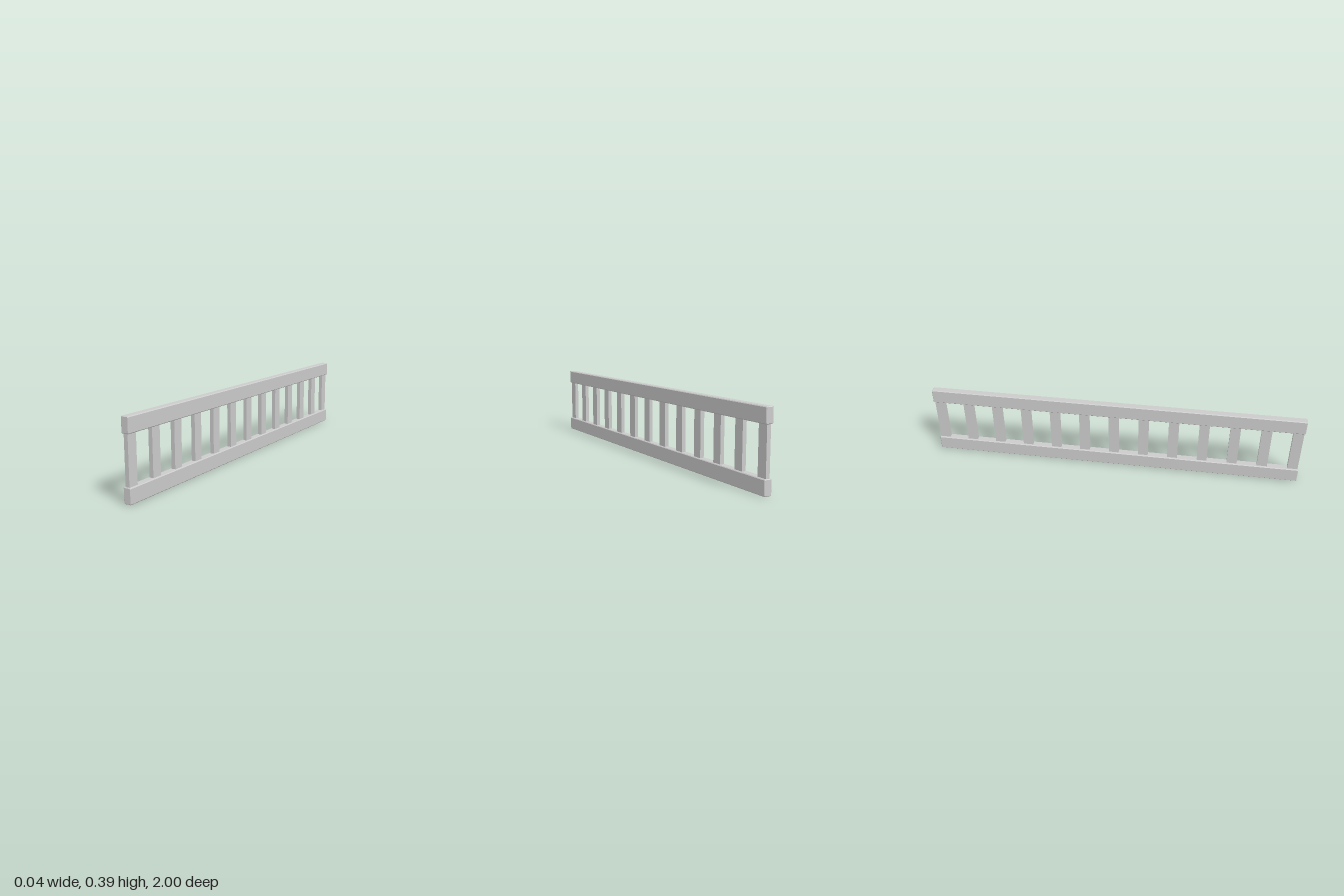
import * as THREE from 'three';

const material = new THREE.MeshStandardMaterial({ color: 0xcccccc, flatShading: true });

// Rectangle with chamfered corners, centred on the origin
function chamferedRect(w, h, c) {
  const x = w / 2, y = h / 2;
  return new THREE.Shape([
    [x, -y + c], [x, y - c], [x - c, y], [-x + c, y],
    [-x, y - c], [-x, -y + c], [-x + c, -y], [x - c, -y],
  ].map(([px, py]) => new THREE.Vector2(px, py)));
}

// Long rail along z, chamfered on every edge
function makeRail(name, yCentre) {
  const bevel = 0.003, width = 0.04, height = 0.076, length = 2;
  const geometry = new THREE.ExtrudeGeometry(
    chamferedRect(width - 2 * bevel, height - 2 * bevel, 0.002),
    { depth: length - 2 * bevel, bevelEnabled: true, bevelSize: bevel, bevelThickness: bevel, bevelSegments: 1 }
  );
  geometry.translate(0, 0, -length / 2 + bevel);
  const rail = new THREE.Mesh(geometry, material);
  rail.name = name;
  rail.position.y = yCentre;
  return rail;
}

export function createModel() {
  const model = new THREE.Group();
  model.name = 'railing';

  const bottomY = 0.038, topY = 0.348;
  model.add(makeRail('bottomRail', bottomY), makeRail('topRail', topY));

  // Evenly spaced square-cut balusters, let into both rails
  const count = 13, firstZ = 0.968;
  const balusterGeometry = new THREE.BoxGeometry(0.021, 0.25, 0.054);
  const balusters = new THREE.Group();
  balusters.name = 'balusters';
  for (let i = 0; i < count; i++) {
    const baluster = new THREE.Mesh(balusterGeometry, material);
    baluster.name = `baluster${i + 1}`;
    baluster.position.set(0, (bottomY + topY) / 2, firstZ - (2 * firstZ * i) / (count - 1));
    balusters.add(baluster);
  }
  model.add(balusters);
  return model;
}
